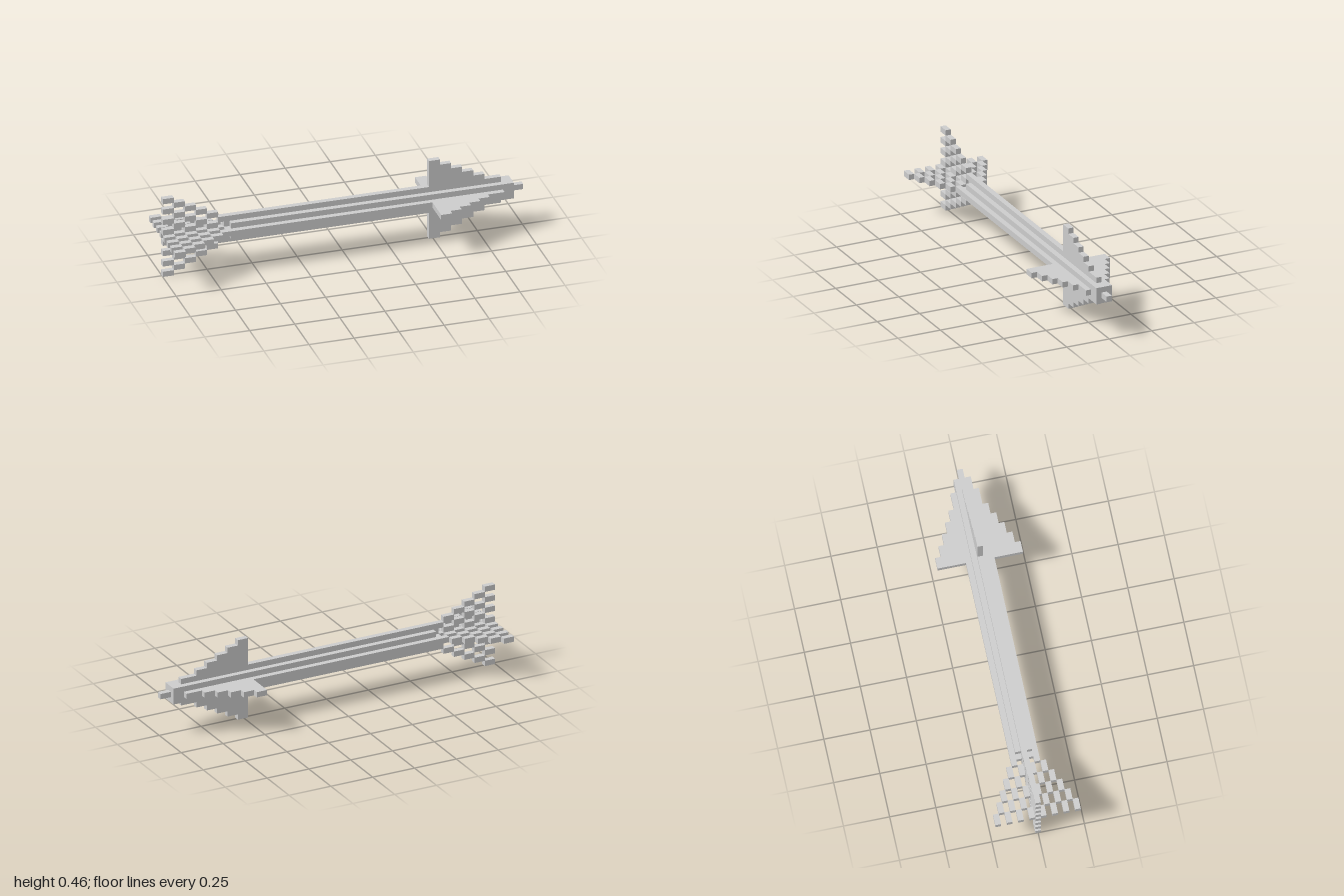
import * as THREE from 'three';

// One grid unit: the arrow is 65 units long and 15 units across.
const U = 2 / 65;
const material = new THREE.MeshStandardMaterial({ color: 0xcccccc, flatShading: true });

// Box spanning x0..x1 along the shaft, centred on row y, in grid units
function bar(name, x0, x1, y, size) {
  const mesh = new THREE.Mesh(new THREE.BoxGeometry(x1 - x0, size, size), material);
  mesh.name = name;
  mesh.position.set((x0 + x1) / 2, y, 0);
  return mesh;
}

// Shaft ridge that widens into a stepped head blade
function bladeGeometry() {
  const points = [[12, 0.5], [12, 1.5], [61, 1.5], [61, 2.5], [57.999, 2.5]];
  for (let h = 3.5; h <= 7.5; h++) {
    const x = 65 - 2 * h;
    points.push([x, h], [x - 2, h]);
  }
  points.push([48, 2.5], [10, 2.5], [10, 1.5], [11, 1.5], [11, 0.5]);
  points[4][0] = 58;
  const shape = new THREE.Shape(points.map(([x, y]) => new THREE.Vector2(x, y)));
  const geometry = new THREE.ExtrudeGeometry(shape, { depth: 1, bevelEnabled: false });
  return geometry.translate(0, 0, -0.5);
}

export function createModel() {
  const model = new THREE.Group();
  model.name = 'arrow';
  const arrow = new THREE.Group();
  arrow.name = 'arrowBody';
  arrow.scale.setScalar(U);
  arrow.position.set(-1, 7.5 * U, 0);
  model.add(arrow);

  // Core of the shaft and the point
  arrow.add(bar('shaftCore', 12, 63, 0, 3), bar('tip', 63, 65, 0, 1));

  // Centre line of the chequered tail
  for (const col of [1, 3, 5]) arrow.add(bar('tailCentre', col * 2, col * 2 + 2, 0, 1));

  // Four identical sides around the shaft
  const blade = bladeGeometry();
  for (let i = 0; i < 4; i++) {
    const side = new THREE.Group();
    side.name = 'side' + (i + 1);
    side.rotation.x = (i * Math.PI) / 2;

    const head = new THREE.Mesh(blade, material);
    head.name = 'ridgeAndHeadBlade';
    side.add(head);

    // Chequered tail feather, one row shorter with each column
    for (let col = 0; col < 5; col++) {
      for (let row = 7 - col; row > 0; row -= 2) {
        side.add(bar('tailFeather', col * 2, col * 2 + 2, row, 1));
      }
    }
    arrow.add(side);
  }
  return model;
}
